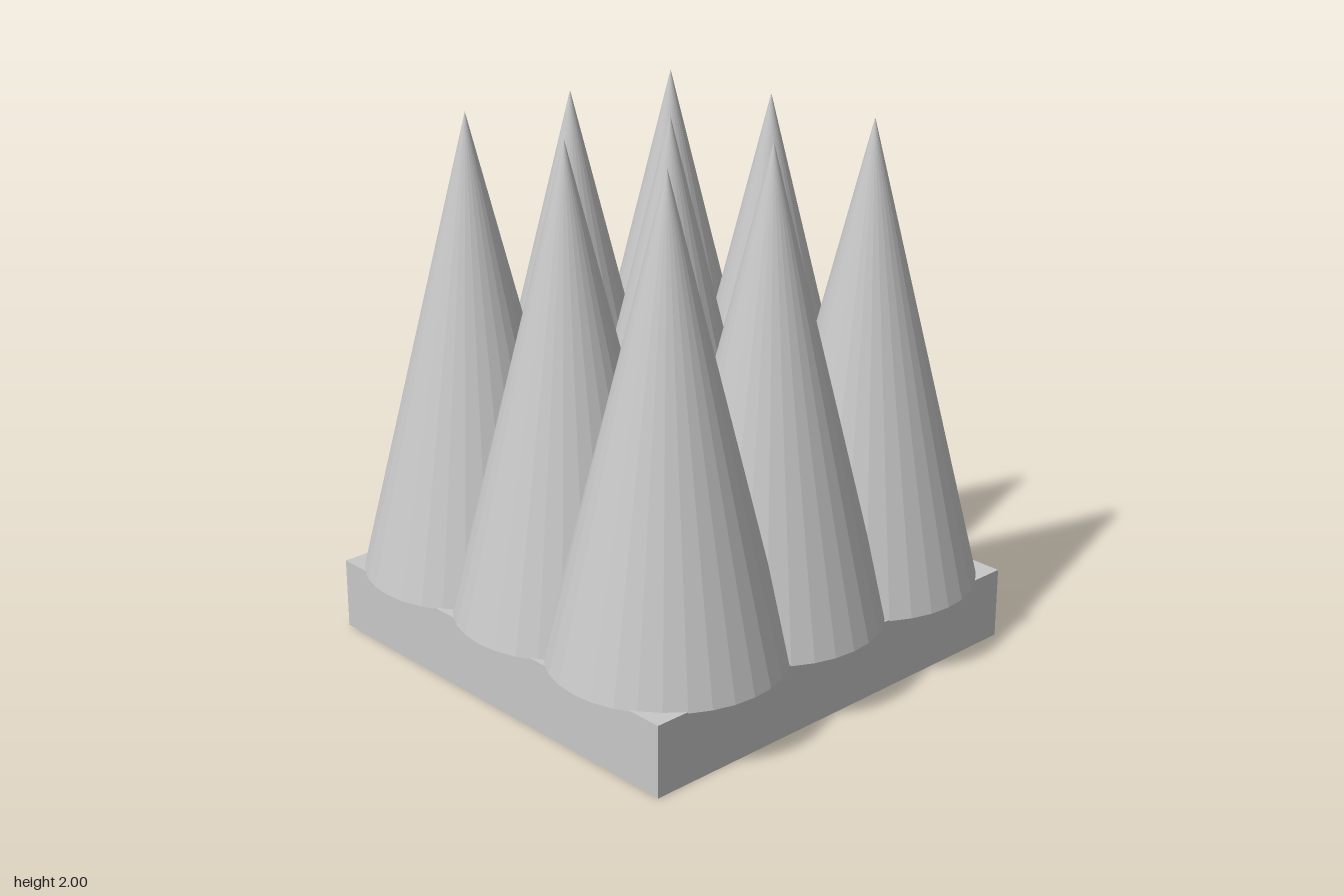
import * as THREE from 'three';

export function createModel() {
  const model = new THREE.Group();
  model.name = 'spikedBlock';

  const grey = new THREE.MeshStandardMaterial({ color: 0xc8c8c8 });
  grey.name = 'light grey';
  grey.flatShading = true;

  // Square base slab
  const slabHeight = 0.27;
  const base = new THREE.Mesh(new THREE.BoxGeometry(1.735, slabHeight, 1.735), grey);
  base.name = 'base';
  base.position.set(0.007, slabHeight / 2, -0.002);
  model.add(base);

  // Three by three grid of overlapping cones that overhang the slab
  const coneBottom = 0.265;
  const coneHeight = 2 - coneBottom;
  const coneGeometry = new THREE.ConeGeometry(0.43, coneHeight, 32);
  const spikes = new THREE.Group();
  spikes.name = 'spikes';
  for (const z of [-0.498, 0.005, 0.492]) {
    for (const x of [-0.523, 0.012, 0.518]) {
      const spike = new THREE.Mesh(coneGeometry, grey);
      spike.name = 'spike';
      spike.position.set(x, coneBottom + coneHeight / 2, z);
      spikes.add(spike);
    }
  }
  model.add(spikes);

  return model;
}
